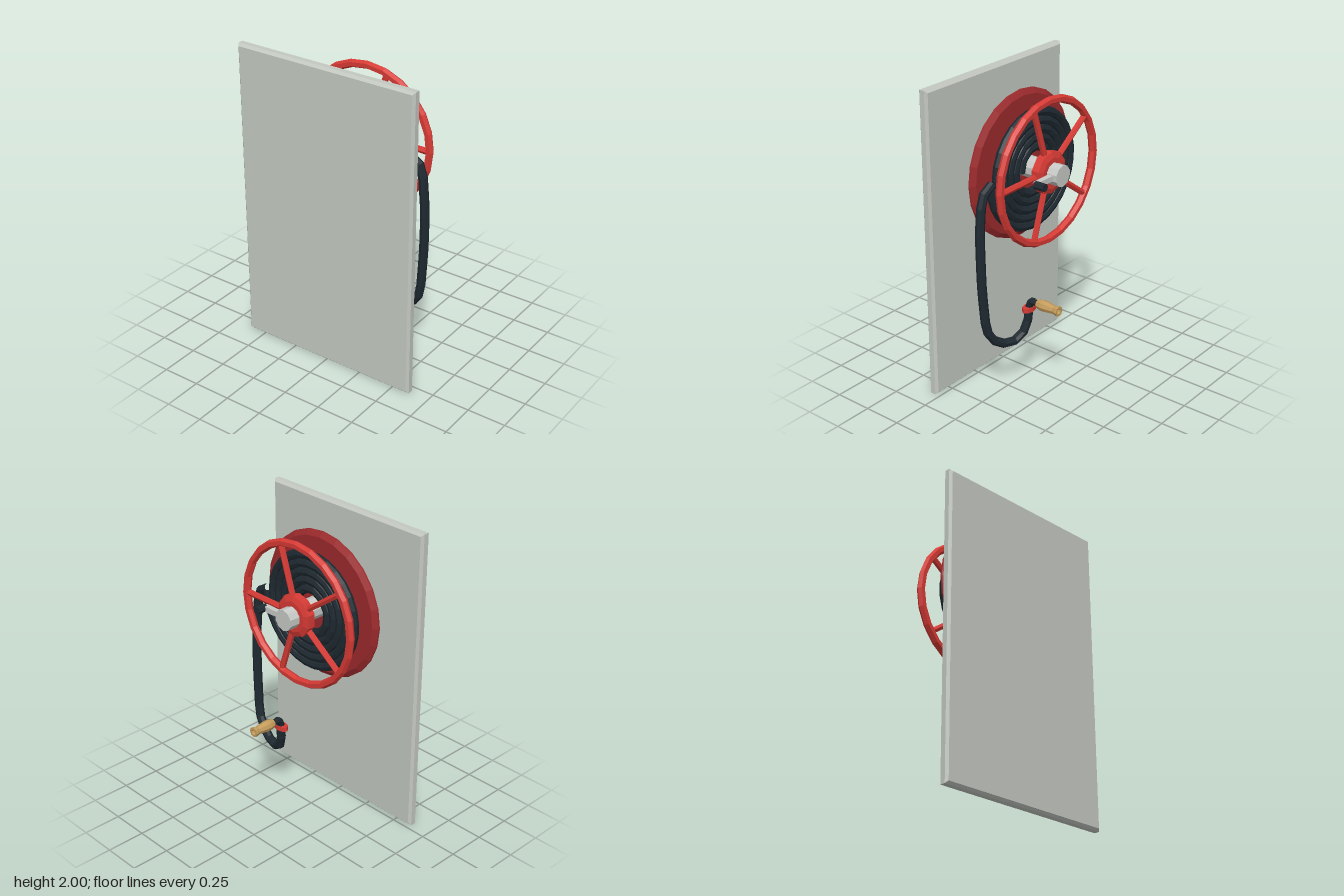
import * as THREE from 'three';

const mat = (name, color, side = THREE.FrontSide) => {
  const m = new THREE.MeshStandardMaterial({ color, flatShading: true, side });
  m.name = name;
  return m;
};

export function createModel() {
  const panelGrey = mat('panel grey', 0xc3c8c0);
  const steel = mat('steel', 0xc6c9c5);
  const slate = mat('slate', 0x7c8c8c);
  const red = mat('bright red', 0xd63a34);
  const darkRed = mat('dark red', 0x9c2a2d);
  const rubber = mat('black rubber', 0x1e2930);
  const brass = mat('brass', 0xc49c5c, THREE.DoubleSide);

  const root = new THREE.Group();
  root.name = 'hoseReel';
  const CY = 1.415; // height of the reel axis

  const add = (name, geo, material, x = 0, y = 0, z = 0, parent = root) => {
    const m = new THREE.Mesh(geo, material);
    m.name = name;
    m.position.set(x, y, z);
    parent.add(m);
    return m;
  };

  // Box with chamfered edges, centred on the origin
  const chamferBox = (w, h, d, b) => {
    const x = w / 2 - b, y = h / 2 - b;
    const s = new THREE.Shape([[-x, -y], [x, -y], [x, y], [-x, y]].map(p => new THREE.Vector2(...p)));
    return new THREE.ExtrudeGeometry(s, {
      depth: d - 2 * b, bevelEnabled: true, bevelThickness: b, bevelSize: b, bevelSegments: 1,
    }).translate(0, 0, b - d / 2);
  };
  // Turned solid along z; profile is [radius, z] from low z to high z
  const turned = (profile, sides) =>
    new THREE.LatheGeometry(profile.map(p => new THREE.Vector2(...p)), sides).rotateX(Math.PI / 2);
  const rod = (r, len, sides) => new THREE.CylinderGeometry(r, r, len, sides).rotateX(Math.PI / 2);
  const tube = (pts, segs, r) =>
    new THREE.TubeGeometry(new THREE.CatmullRomCurve3(pts.map(p => new THREE.Vector3(...p))), segs, r, 8);

  // Wall panel and mounting bracket
  add('wallPanel', chamferBox(1.24, 2, 0.065, 0.015), panelGrey, 0, 1, 0.303);
  add('bracket', chamferBox(0.27, 0.45, 0.12, 0.015), slate, 0, 1.385, 0.22);
  for (const x of [-0.098, 0.098])
    for (const y of [1.235, 1.535])
      add('bracketBolt', rod(0.018, 0.012, 6), steel, x, y, 0.147);

  // Reel turning on the shaft
  const reel = new THREE.Group();
  reel.name = 'reel';
  reel.position.y = CY;
  root.add(reel);
  add('shaft', rod(0.068, 0.4, 10), steel, 0, 0, -0.03, reel);
  add('rearFlange', turned([[0, 0.068], [0.44, 0.068], [0.472, 0.09], [0.472, 0.1], [0.44, 0.12], [0, 0.12]], 24),
    darkRed, 0, 0, 0, reel);
  add('wheelRim', new THREE.TorusGeometry(0.446, 0.026, 6, 24), red, 0, 0, -0.117, reel);
  for (let i = 0; i < 5; i++) {
    const a = i * Math.PI * 2 / 5;
    const spoke = add('wheelSpoke', new THREE.CylinderGeometry(0.02, 0.02, 0.34, 6),
      red, Math.cos(a) * 0.28, Math.sin(a) * 0.28, -0.117, reel);
    spoke.rotation.z = a - Math.PI / 2;
  }
  add('wheelHub', turned([[0, -0.158], [0.1, -0.158], [0.135, -0.145], [0.135, -0.095], [0.11, -0.09], [0, -0.09]], 10),
    red, 0, 0, 0, reel);

  // Crank arm and grip
  add('crankArm', new THREE.BoxGeometry(0.16, 0.035, 0.035), steel, 0.125, 0, -0.188, reel);
  add('crankGrip', rod(0.026, 0.07, 8), rubber, 0.205, 0, -0.222, reel);

  // Coiled hose: a flat spiral of five turns
  const coil = [];
  const turns = 5, perTurn = 20;
  for (let i = 0; i <= turns * perTurn; i++) {
    const t = i / perTurn, a = t * Math.PI * 2, r = 0.122 + 0.0525 * t;
    coil.push([Math.cos(a) * r, Math.sin(a) * r, 0]);
  }
  add('hoseCoil', tube(coil, turns * perTurn, 0.031), rubber, 0, 0, 0, reel);

  // Loose end hanging down to the nozzle
  add('hoseTail', tube([
    [0.38, 1.425, 0], [0.455, 1.38, 0], [0.488, 1.2, 0], [0.495, 0.98, -0.005], [0.485, 0.7, -0.01],
    [0.45, 0.46, -0.022], [0.35, 0.368, -0.045], [0.23, 0.364, -0.075], [0.178, 0.45, -0.096],
    [0.167, 0.56, -0.106],
  ], 18, 0.029), rubber);
  const nx = 0.167, ny = 0.612;
  add('nozzleElbow', tube([[nx, 0.54, -0.105], [nx, 0.59, -0.112], [nx, ny, -0.128], [nx, ny, -0.15]], 5, 0.024), rubber);
  add('nozzleNeck', rod(0.02, 0.05, 8), rubber, nx, ny, -0.162);
  add('hoseCollar', new THREE.CylinderGeometry(0.5, 0.5, 0.03, 8).scale(0.11, 1, 0.066), red, nx, 0.557, -0.104);

  // Turned nozzle with an open bore
  add('nozzle', turned([
    [0, -0.28], [0.014, -0.28], [0.018, -0.338], [0.033, -0.338], [0.032, -0.322], [0.026, -0.305],
    [0.036, -0.235], [0.036, -0.21], [0.028, -0.175], [0, -0.175],
  ], 8), brass, nx, ny, 0);
  add('nozzleBore', new THREE.CircleGeometry(0.014, 8).rotateY(Math.PI), rubber, nx, ny, -0.284);

  return root;
}
